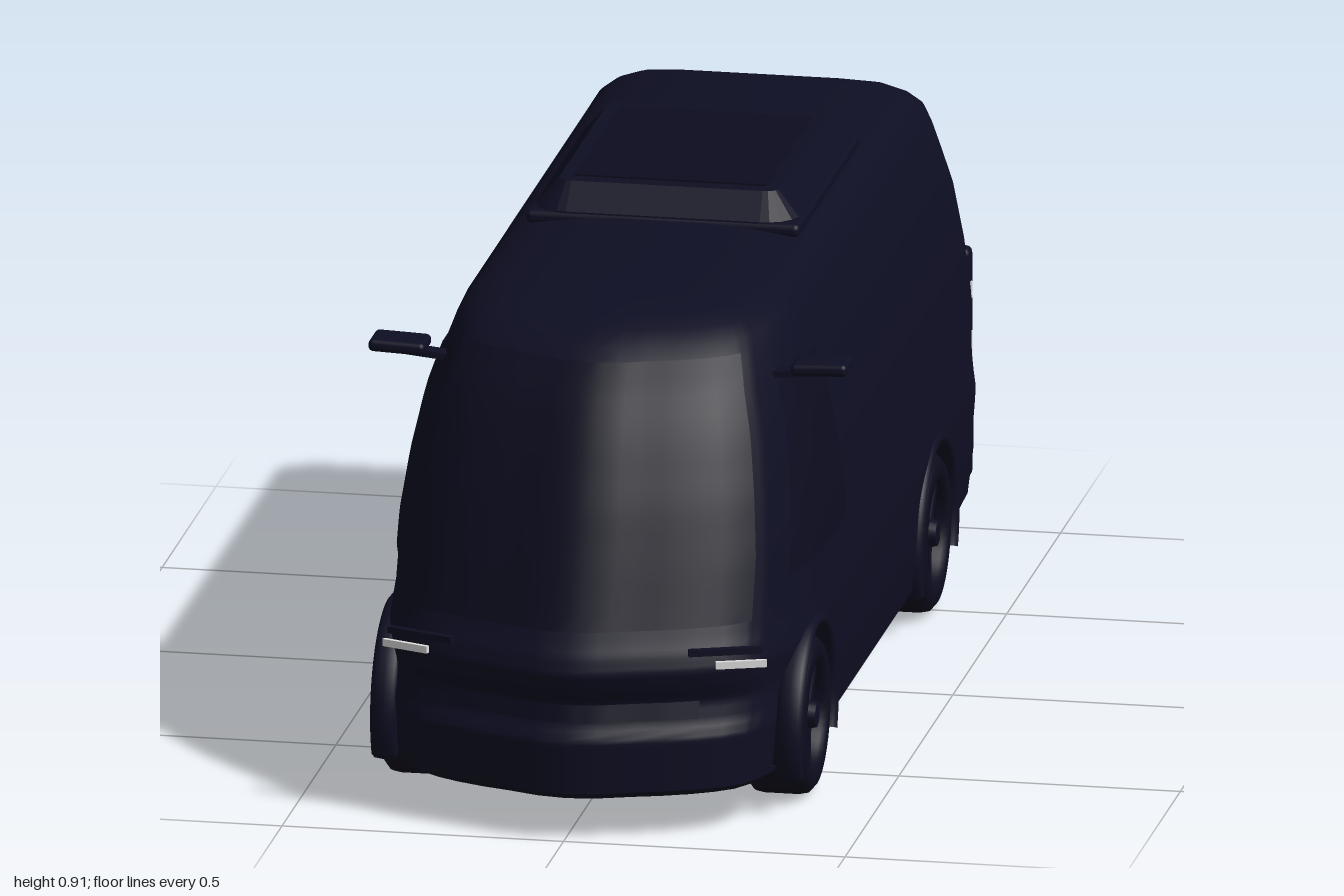
import * as THREE from 'three';
import { toCreasedNormals } from 'three/addons/utils/BufferGeometryUtils.js';
import { RoundedBoxGeometry } from 'three/addons/geometries/RoundedBoxGeometry.js';

const mat = (name, color, extra = {}) => Object.assign(new THREE.MeshStandardMaterial({ color, ...extra }), { name });

// Height, half width, nose z, tail z
const ROWS = [
  [0.07, 0.345, 0.97, -0.885], [0.085, 0.365, 0.995, -0.893], [0.18, 0.374, 1.0, -0.9], [0.205, 0.374, 0.985, -0.9],
  [0.24, 0.374, 0.975, -0.9], [0.27, 0.376, 0.99, -0.9], [0.3, 0.378, 1.0, -0.9], [0.33, 0.374, 0.99, -0.9],
  [0.36, 0.371, 0.972, -0.9], [0.47, 0.37, 0.925, -0.9], [0.57, 0.357, 0.88, -0.9], [0.67, 0.337, 0.825, -0.9],
  [0.73, 0.317, 0.785, -0.898], [0.78, 0.3, 0.735, -0.895], [0.81, 0.287, 0.7, -0.89], [0.83, 0.262, 0.66, -0.88],
  [0.845, 0.225, 0.61, -0.865], [0.855, 0.16, 0.53, -0.84], [0.86, 0.08, 0.42, -0.8],
];
// Nose plan: width fraction, distance behind the tip
const NOSE = [[0, 0], [0.15, 0.008], [0.31, 0.03], [0.46, 0.048], [0.6, 0.07], [0.71, 0.093], [0.8, 0.12],
  [0.86, 0.155], [0.9, 0.2], [0.94, 0.25], [0.97, 0.3], [0.99, 0.35], [1, 0.4]];
const WHEEL_Z = [0.62, -0.5], WHEEL_Y = 0.14, ARCH_R = 0.166;

// Linear lookup in a table, keyed on column k
function look(table, k, v) {
  if (v <= table[0][k]) return table[0];
  for (let i = 1; i < table.length; i++) {
    const a = table[i - 1], b = table[i];
    if (v <= b[k]) return a.map((n, j) => n + (b[j] - n) * (v - a[k]) / (b[k] - a[k]));
  }
  return table[table.length - 1];
}
const sideX = (y, z) => {
  const [, w, zf] = look(ROWS, 0, y);
  return w * look(NOSE, 1, (zf - z) * 0.374 / w)[0];
};
const noseZ = (y, f) => {
  const [, w, zf] = look(ROWS, 0, y);
  return zf - look(NOSE, 0, Math.abs(f))[1] * w / 0.374;
};

// Half outline of the body at one height, from nose to tail
function halfRing(y) {
  const [, w, zf, zr] = look(ROWS, 0, y);
  const pts = NOSE.slice(0, 7).map(([f]) => [f * w, noseZ(y, f)]);
  const z0 = pts[6][1], n = 140;
  for (let i = 1; i <= n; i++) {
    const z = z0 + (zr + 0.05 - z0) * i / n;
    pts.push([sideX(y, z), z]);
  }
  for (const [f, d] of [[0.99, 0.03], [0.965, 0.013], [0.92, 0.003], [0.86, 0], [0.4, 0], [0, 0]]) pts.push([f * w, zr + d]);
  return pts.map(([x, z]) => {
    const inWell = WHEEL_Z.some((c) => Math.hypot(z - c, y - WHEEL_Y) < ARCH_R);
    const lift = 0.03 * THREE.MathUtils.smoothstep(-z, 0.5, 0.9) * Math.max(0, 1 - (y - 0.07) / 0.2);
    return [inWell ? Math.min(x, 0.26) : x, y + lift, z];
  });
}

function bodyGeometry() {
  const ys = [];
  for (let y = 0.07; y < 0.345; y += 0.0075) ys.push(y);
  ROWS.forEach(([y]) => { if (y > 0.35) ys.push(y); });
  const pos = [], idx = [];
  let M = 0;
  for (const y of ys) {
    const half = halfRing(y);
    M = half.length - 1;
    for (let j = -M; j <= M; j++) {
      const [x, yy, z] = half[Math.abs(j)];
      pos.push(j < 0 ? -x : x, yy, z);
    }
  }
  const C = 2 * M + 1, top = (ys.length - 1) * C;
  for (let i = 0; i < ys.length - 1; i++) for (let j = 0; j < C - 1; j++) {
    const a = i * C + j, d = a + C;
    idx.push(a, a + 1, d + 1, a, d + 1, d);
  }
  // Floor and roof strips join mirrored points
  for (let j = 0; j < M; j++) {
    const r = M + j, l = M - j;
    idx.push(r, l, l - 1, r, l - 1, r + 1);
    idx.push(top + r, top + l - 1, top + l, top + r, top + r + 1, top + l - 1);
  }
  const g = new THREE.BufferGeometry();
  g.setAttribute('position', new THREE.Float32BufferAttribute(pos, 3));
  g.setIndex(idx);
  return toCreasedNormals(g, 0.7);
}

// Thin panel laid over the body by a mapping of (u, v)
function patch(map, nu = 16, nv = 12) {
  const g = new THREE.PlaneGeometry(1, 1, nu, nv), p = g.attributes.position;
  for (let i = 0; i < p.count; i++) p.setXYZ(i, ...map(p.getX(i) + 0.5, p.getY(i) + 0.5));
  g.computeVertexNormals();
  return g;
}
const nosePatch = (y0, y1, f) => patch((u, v) => {
  const y = y0 + (y1 - y0) * v, k = (u * 2 - 1) * f;
  return [k * look(ROWS, 0, y)[1], y + 0.002, noseZ(y, k) + 0.004];
}, 24, 16);

export function createModel() {
  const group = new THREE.Group();
  const paint = mat('navy paint', 0x0e0e23);
  const glass = mat('dark glass', 0x0c0c1f, { side: THREE.DoubleSide });
  const rubber = mat('tyre navy', 0x0c0c1e);
  const white = mat('lamp white', 0xe0e0e0);
  const blue = mat('frame blue', 0x0c3c90);
  const add = (name, geo, m, x = 0, y = 0, z = 0, parent = group) => {
    const mesh = new THREE.Mesh(geo, m);
    mesh.name = name;
    mesh.position.set(x, y, z);
    parent.add(mesh);
    return mesh;
  };
  const box = (w, h, d) => new THREE.BoxGeometry(w, h, d);

  add('body', bodyGeometry(), paint);
  add('windscreen', nosePatch(0.37, 0.79, 0.82), glass);
  add('lowerGrille', nosePatch(0.21, 0.24, 0.6), glass);

  // Roof hatch with sloping sides
  const s = new THREE.Shape(), hw = 0.195, hl = 0.24, r = 0.025;
  s.moveTo(-hw + r, -hl).lineTo(hw - r, -hl).quadraticCurveTo(hw, -hl, hw, -hl + r)
    .lineTo(hw, hl - r).quadraticCurveTo(hw, hl, hw - r, hl).lineTo(-hw + r, hl)
    .quadraticCurveTo(-hw, hl, -hw, hl - r).lineTo(-hw, -hl + r).quadraticCurveTo(-hw, -hl, -hw + r, -hl);
  const hatch = new THREE.ExtrudeGeometry(s, { depth: 0.015, bevelSize: 0.04, bevelThickness: 0.045, bevelSegments: 1, curveSegments: 5 });
  add('roofHatch', hatch.rotateX(-Math.PI / 2), paint, 0, 0.851, -0.2);
  add('roofHatchPanel', box(0.34, 0.006, 0.42), glass, 0, 0.911, -0.2);
  add('roofHatchLip', new RoundedBoxGeometry(0.486, 0.024, 0.57, 2, 0.01), paint, 0, 0.853, -0.2);

  // Parts repeated on both sides
  const tyre = new THREE.LatheGeometry([[0.1, -0.055], [0.125, -0.055], [0.137, -0.045], [0.14, -0.03], [0.14, 0.03],
    [0.137, 0.045], [0.125, 0.055], [0.1, 0.056], [0.096, 0.045], [0.092, 0.03]].map((p) => new THREE.Vector2(...p)), 40);
  const disc = new THREE.CylinderGeometry(0.098, 0.098, 0.08, 32);
  const lip = new THREE.TorusGeometry(ARCH_R + 0.003, 0.012, 8, 40, Math.PI + 0.84);
  lip.rotateZ(-0.42).scale(1, 1, 2).rotateY(Math.PI / 2);
  const cabWindow = patch((u, v) => {
    const y = 0.42 + 0.31 * v, z = THREE.MathUtils.lerp(0.72 - 0.14 * v, 0.34, u);
    return [sideX(y, z) + 0.004, y, z];
  });
  for (const side of [1, -1]) {
    const half = new THREE.Group();
    half.name = side > 0 ? 'leftSide' : 'rightSide';
    half.scale.x = side;
    group.add(half);
    add('cabWindow', cabWindow, glass, 0, 0, 0, half);
    for (const z of WHEEL_Z) {
      const wheel = new THREE.Group();
      wheel.name = z > 0 ? 'frontWheel' : 'rearWheel';
      wheel.position.set(0.323, WHEEL_Y, z);
      wheel.rotation.z = -Math.PI / 2;
      half.add(wheel);
      add('tyre', tyre, rubber, 0, 0, 0, wheel);
      add('rim', disc, paint, 0, -0.01, 0, wheel);
      add('hub', new THREE.CylinderGeometry(0.022, 0.028, 0.03, 20), paint, 0, 0.04, 0, wheel);
      for (let i = 0; i < 5; i++) {
        const a = i * Math.PI * 0.4;
        add('spoke', box(0.075, 0.014, 0.02), paint, Math.cos(a) * 0.055, 0.035, -Math.sin(a) * 0.055, wheel).rotation.y = a;
      }
      add('wheelArch', lip, paint, 0.36, WHEEL_Y, z, half);
    }
    // Mirror on a short arm
    add('mirror', new RoundedBoxGeometry(0.1, 0.022, 0.075, 3, 0.009), paint, 0.375, 0.758, 0.56, half).rotation.z = 0.04;
    add('mirrorArm', box(0.08, 0.012, 0.03), paint, 0.325, 0.744, 0.56, half).rotation.z = 0.1;
    // Lamps
    add('headlight', box(0.09, 0.013, 0.008), white, 0.298, 0.3125, 0.908, half).rotation.y = 0.36;
    add('headlightBrow', box(0.13, 0.012, 0.012), paint, 0.27, 0.335, 0.91, half).rotation.y = 0.36;
    add('tailLampHousing', new RoundedBoxGeometry(0.045, 0.42, 0.04, 2, 0.012), paint, 0.343, 0.34, -0.876, half);
    for (const [y, h] of [[0.375, 0.05], [0.475, 0.03]]) add('tailLamp', box(0.008, h, 0.006), white, 0.364, y, -0.868, half);
    add('shutterSideFrame', box(0.008, 0.15, 0.012), blue, 0.247, 0.725, -0.902, half);
    add('shutterSideTrim', box(0.007, 0.55, 0.012), paint, 0.247, 0.38, -0.902, half);
  }

  // Roller shutter at the back
  const slats = 16, pitch = 0.69 / slats;
  for (let i = 0; i < slats; i++) {
    add('shutterSlat', box(0.486, pitch * 0.86, 0.012), paint, 0, 0.108 + pitch * (i + 0.5), -0.9).rotation.x = 0.06;
  }
  add('shutterTopFrame', box(0.502, 0.008, 0.014), blue, 0, 0.801, -0.901);
  add('rearStep', box(0.51, 0.065, 0.1), paint, 0, 0.0325, -0.95);
  return group;
}
